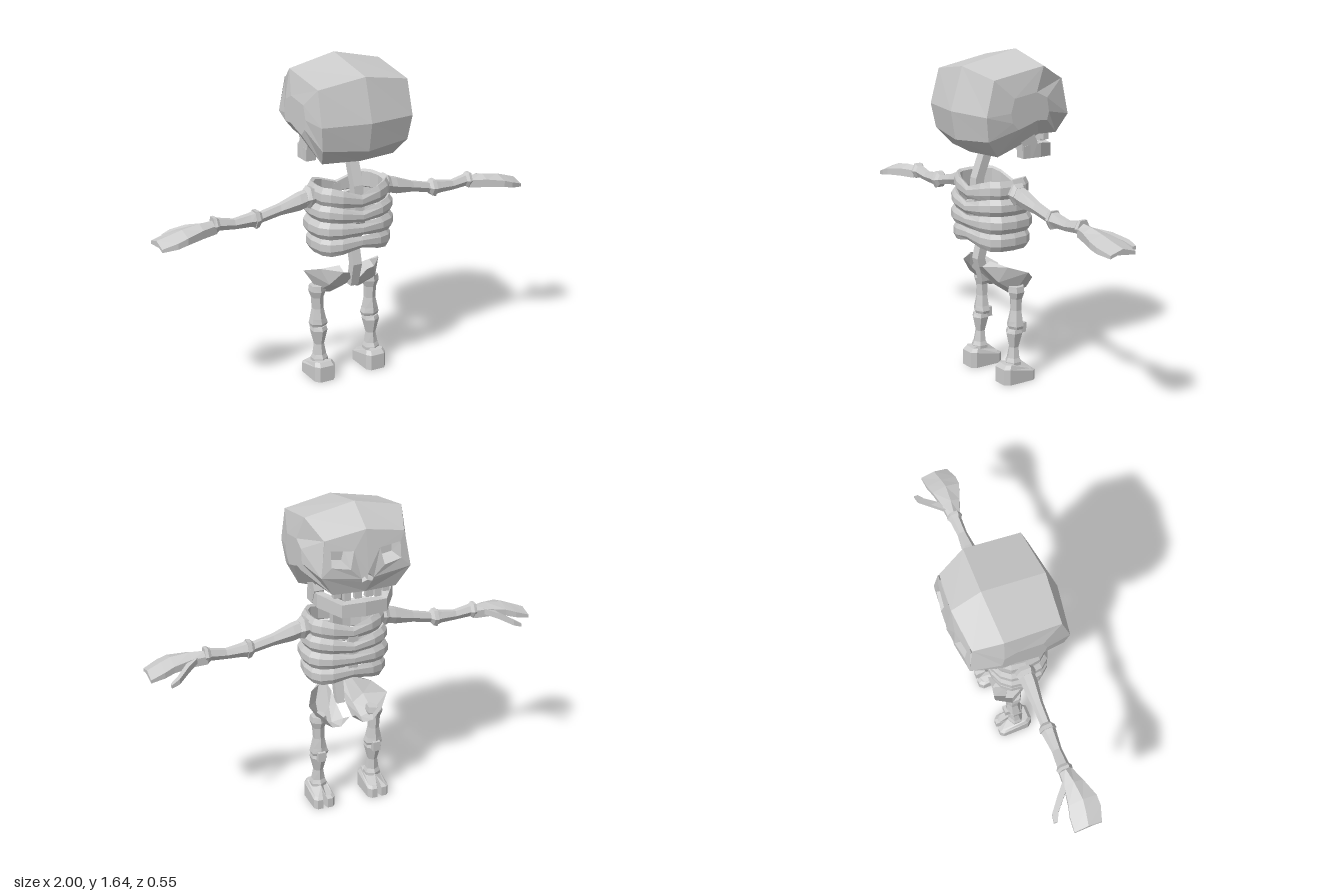
import * as THREE from 'three';

const bone = new THREE.MeshStandardMaterial({ color: 0xcccccc, flatShading: true, side: THREE.DoubleSide });

// Skin a list of equal-length point loops into a faceted mesh
function loft(name, rings, { caps = true, closed = true, skip = () => false } = {}) {
  const tris = [];
  const n = rings[0].length;
  for (let i = 0; i < rings.length - 1; i++) {
    for (let j = 0; j < (closed ? n : n - 1); j++) {
      if (skip(i, j)) continue;
      const k = (j + 1) % n;
      const [a, b, c, d] = [rings[i][j], rings[i][k], rings[i + 1][k], rings[i + 1][j]];
      tris.push([a, b, c], [a, c, d]);
    }
  }
  const first = rings[0], last = rings[rings.length - 1];
  if (caps) for (let j = 1; j < n - 1; j++) {
    tris.push([first[0], first[j + 1], first[j]], [last[0], last[j], last[j + 1]]);
  }
  // Flip everything if the solid came out inside out
  let volume = 0;
  const v = (p) => new THREE.Vector3(...p);
  for (const [a, b, c] of tris) volume += v(a).dot(v(b).cross(v(c)));
  if (volume < 0) tris.forEach((t) => t.reverse());
  const g = new THREE.BufferGeometry();
  g.setAttribute('position', new THREE.Float32BufferAttribute(tris.flat(2), 3));
  return mesh(name, g);
}

function mesh(name, g) {
  g.computeVertexNormals();
  const m = new THREE.Mesh(g, bone);
  m.name = name;
  return m;
}

// Polygon loop around a centre, perpendicular to the x or y axis
function ring([x, y, z], a, b, axis, n = 6) {
  return Array.from({ length: n }, (_, i) => {
    const t = ((i + 0.5) / n) * Math.PI * 2;
    const u = a * Math.cos(t), w = b * Math.sin(t);
    return axis === 'x' ? [x, y + u, z + w] : [x + u, y, z + w];
  });
}

// Stations are [x, y, z, radiusA, radiusB]
const limb = (name, axis, stations, n) =>
  loft(name, stations.map(([x, y, z, a, b]) => ring([x, y, z], a, b, axis, n)));

// Depth of the face, curving back towards the sides
function faceZ(x, y) {
  const z = y > 1.34 ? -0.275 + (0.03 * (y - 1.34)) / 0.21 : -0.24 - (0.035 * (y - 1.24)) / 0.1;
  return z + 0.5 * x * x;
}

function skull() {
  const g = new THREE.Group();
  g.name = 'skull';
  // Profiles run from the brow over the crown and back to the upper jaw
  const centre = [[0, 1.55, -0.245], [0, 1.64, -0.1], [0, 1.58, 0.21], [0, 1.37, 0.275], [0, 1.23, 0.25],
    [0, 1.16, 0.165], [0, 1.2, 0], [0, 1.25, -0.1], [0, 1.24, -0.24], [0, 1.34, -0.275]];
  const edge = [[0.2, 1.51, -0.225], [0.245, 1.587, -0.09], [0.24, 1.54, 0.19], [0.245, 1.37, 0.235], [0.23, 1.25, 0.215],
    [0.195, 1.165, 0.14], [0.19, 1.21, 0], [0.19, 1.25, -0.1], [0.16, 1.24, -0.227], [0.225, 1.34, -0.25]];
  const side = edge.map(([, y, z]) => [0.266, 1.39 + (y - 1.39) * 0.4, 0.01 + (z - 0.01) * 0.45]);
  const flip = (r) => r.map(([x, y, z]) => [-x, y, z]);
  g.add(loft('cranium', [flip(side), flip(edge), centre, edge, side],
    { skip: (i, j) => (i === 1 || i === 2) && j >= 8 }));

  // Face halves with an eye hole and half of the nose opening
  const eye = [[0.065, 1.455], [0.175, 1.465], [0.175, 1.385], [0.085, 1.37]];
  const nose = [[0, 1.345], [0.03, 1.315], [0.025, 1.295], [0, 1.305]];
  const pts = (a) => a.map(([x, y]) => new THREE.Vector2(x, y));
  for (const s of [1, -1]) {
    const half = new THREE.Group();
    half.name = s > 0 ? 'leftFace' : 'rightFace';
    const shape = new THREE.Shape(pts([[0, 1.55], ...nose, [0, 1.24], [0.16, 1.24], [0.225, 1.34], [0.2, 1.51]]));
    shape.holes.push(new THREE.Path(pts(eye)));
    const plate = new THREE.ShapeGeometry(shape).toNonIndexed();
    const p = plate.attributes.position;
    for (let i = 0; i < p.count; i++) p.setZ(i, faceZ(p.getX(i), p.getY(i)));
    // Reverse winding so the plate faces -z
    for (let i = 0; i < p.count; i += 3) {
      const a = new THREE.Vector3().fromBufferAttribute(p, i), b = new THREE.Vector3().fromBufferAttribute(p, i + 1);
      p.setXYZ(i, b.x, b.y, b.z);
      p.setXYZ(i + 1, a.x, a.y, a.z);
    }
    half.add(mesh('facePlate', plate));
    const pit = (name, loop, cx, cy, depth) => {
      const rim = loop.map(([x, y]) => [x, y, faceZ(x, y)]);
      const floor = loop.map(([x, y]) => [cx + (x - cx) * 0.65, cy + (y - cy) * 0.65, -0.26 + depth]);
      const m = loft(name, [rim, floor], { caps: false });
      half.add(m, loft(name + 'Floor', [floor.slice(0, 2), [floor[3], floor[2]]], { caps: false, closed: false }));
    };
    pit('eyeSocket', eye, 0.125, 1.42, 0.08);
    pit('noseCavity', nose, 0, 1.32, 0.04);
    // Upper teeth
    for (const [x, h] of [[0.028, 0.045], [0.078, 0.055], [0.125, 0.04]]) {
      const t = new THREE.BoxGeometry(0.034, h, 0.03);
      t.translate(x, 1.245 - h / 2, -0.215 + x * 0.25);
      half.add(mesh('tooth', t));
    }
    half.scale.x = s;
    g.add(half);
  }
  return g;
}

// Jaw: a U-shaped bar with an upright branch at each end
function jaw() {
  const path = [[0.185, -0.01, 1.14, 1.2, 0.02], [0.175, -0.11, 1.135, 1.205, 0.02],
    [0.1, -0.21, 1.115, 1.18, 0.025], [0, -0.22, 1.112, 1.185, 0.025]];
  const full = [...path, ...path.slice(0, 3).reverse().map(([x, ...r]) => [-x, ...r])];
  const g = new THREE.Group();
  g.name = 'jaw';
  g.add(loft('jawBar', full.map(([x, z, lo, hi, w]) => {
    const l = Math.hypot(x, z + 0.08) || 1, dx = (x / l) * w, dz = ((z + 0.08) / l) * w;
    return [[x + dx, lo, z + dz], [x + dx, hi, z + dz], [x - dx, hi, z - dz], [x - dx, lo, z - dz]];
  })));
  for (const s of [1, -1]) {
    const row = (y, z0, z1) => [[s * 0.2, y, z0], [s * 0.2, y, z1], [s * 0.15, y, z1], [s * 0.15, y, z0]];
    g.add(loft('jawBranch', [row(1.14, -0.005, -0.06), row(1.21, 0.0, -0.09), row(1.28, 0.02, -0.06)]));
  }
  return g;
}

// One closed rib hoop, pinched and dipped where it meets spine and breastbone
function rib(y, rx, rz, h, dip) {
  const rings = [];
  const n = 16;
  for (let i = 0; i <= n; i++) {
    const t = ((i % n) / n) * Math.PI * 2, c = Math.cos(t), s = Math.sin(t);
    const x = Math.sign(c) * Math.abs(c) ** 0.7, z = Math.sign(s) * Math.abs(s) ** 0.7;
    const mid = Math.max(0, 1 - Math.abs(x) / 0.75);
    const cy = y + dip * mid, hh = h * (1 - 0.35 * mid);
    const at = (k, dy) => [x * rx * k, cy + dy * hh, 0.045 + z * rz * k];
    rings.push([at(0.84, -0.8), at(0.92, -1), at(1, -0.4), at(1, 0.4), at(0.92, 1), at(0.84, 0.8)]);
  }
  return loft('rib', rings, { caps: false });
}

function arm() {
  const g = new THREE.Group();
  g.add(limb('shoulder', 'x', [[0.19, 0.975, 0.035, 0.05, 0.045], [0.215, 0.975, 0.035, 0.06, 0.05], [0.235, 0.97, 0.035, 0.045, 0.042]]));
  g.add(limb('upperArm', 'x', [[0.23, 0.97, 0.035, 0.045, 0.04], [0.27, 0.96, 0.035, 0.046, 0.04],
    [0.37, 0.937, 0.033, 0.03, 0.028], [0.47, 0.915, 0.033, 0.028, 0.026], [0.485, 0.912, 0.033, 0.045, 0.04], [0.505, 0.91, 0.033, 0.05, 0.043]]));
  g.add(limb('forearm', 'x', [[0.5, 0.91, 0.033, 0.042, 0.038], [0.53, 0.91, 0.033, 0.034, 0.034], [0.61, 0.905, 0.033, 0.027, 0.025],
    [0.69, 0.917, 0.03, 0.032, 0.03], [0.705, 0.917, 0.03, 0.044, 0.04], [0.72, 0.917, 0.03, 0.044, 0.036]]));
  // Mitten hand, cut as columns [x, topY, bottomY, backZ, frontZ], crowned across
  const palm = [[0.71, 0.94, 0.9, 0.06, 0.0], [0.79, 0.94, 0.9, 0.09, -0.005], [0.88, 0.928, 0.895, 0.122, -0.022],
    [0.93, 0.912, 0.883, 0.122, -0.035], [1.0, 0.888, 0.872, 0.1, -0.04]];
  g.add(loft('hand', palm.map(([x, t, b, z0, z1]) => {
    const m = (z0 + z1) / 2, d = 0.02;
    return [[x, t - d, z0], [x, t, m], [x, t - d, z1], [x, b - d, z1], [x, b, m], [x, b - d, z0]];
  })));
  g.add(limb('thumb', 'x', [[0.76, 0.91, 0.015, 0.02, 0.022], [0.82, 0.895, -0.035, 0.022, 0.028],
    [0.88, 0.868, -0.088, 0.019, 0.024], [0.92, 0.852, -0.102, 0.012, 0.014]], 4));
  return g;
}

function leg() {
  const g = new THREE.Group();
  g.add(limb('thigh', 'y', [[0.152, 0.495, 0, 0.04, 0.042], [0.152, 0.465, 0, 0.045, 0.045], [0.152, 0.43, 0, 0.032, 0.032],
    [0.15, 0.37, 0, 0.03, 0.03], [0.15, 0.315, 0.002, 0.042, 0.038], [0.148, 0.29, 0.002, 0.05, 0.042], [0.148, 0.275, 0.002, 0.045, 0.035]]));
  g.add(limb('shin', 'y', [[0.15, 0.275, 0.01, 0.04, 0.036], [0.15, 0.255, 0.01, 0.045, 0.045], [0.15, 0.18, 0.012, 0.026, 0.026],
    [0.15, 0.125, 0.015, 0.036, 0.032], [0.15, 0.105, 0.015, 0.045, 0.042], [0.15, 0.09, 0.015, 0.045, 0.042]]));
  const cap = new THREE.BoxGeometry(0.04, 0.05, 0.03);
  cap.translate(0.15, 0.275, -0.035);
  g.add(mesh('kneecap', cap));
  // Foot plan with a notch between two toes, top sloping down to the front
  const plan = [[0.092, 0.07], [0.11, 0.095], [0.185, 0.095], [0.205, 0.07], [0.205, -0.07], [0.19, -0.088],
    [0.162, -0.088], [0.15, -0.035], [0.138, -0.09], [0.11, -0.09], [0.092, -0.07]];
  const foot = (k, y) => plan.map(([x, z]) => [0.149 + (x - 0.149) * k, y(z), z * k]);
  g.add(loft('foot', [foot(1, () => 0), foot(1, (z) => (z < -0.05 ? 0.05 : 0.08)), foot(0.82, (z) => (z < -0.05 ? 0.062 : 0.1))],
    { caps: false }));
  for (const [k, y0, y1] of [[1, 0, 0], [0.82, 0.1, 0.062]]) {
    const sole = new THREE.ShapeGeometry(new THREE.Shape(plan.map(([x, z]) => new THREE.Vector2(0.149 + (x - 0.149) * k, z * k))));
    const p = sole.attributes.position;
    for (let i = 0; i < p.count; i++) {
      const z = p.getY(i);
      p.setXYZ(i, p.getX(i), z < -0.05 * k ? y1 : y0, z);
    }
    g.add(mesh(y0 ? 'footTop' : 'sole', sole));
  }
  return g;
}

// Hip wing: a cupped sheet from the crotch up to the flared rim
const hip = () => loft('hipWing', [
  [[0.03, 0.55, 0.125], [0.025, 0.5, 0.07], [0.025, 0.46, -0.02], [0.015, 0.5, -0.085]],
  [[0.05, 0.59, 0.15], [0.065, 0.49, 0.07], [0.08, 0.44, 0.0], [0.06, 0.45, -0.08]],
  [[0.085, 0.6, 0.155], [0.13, 0.52, 0.09], [0.145, 0.46, 0.0], [0.11, 0.46, -0.09]],
  [[0.085, 0.622, 0.11], [0.165, 0.6, 0.06], [0.212, 0.57, -0.03], [0.15, 0.52, -0.1]],
], { caps: false, closed: false });

export function createModel() {
  const model = new THREE.Group();
  model.name = 'skeleton';
  model.add(skull(), jaw());
  model.add(limb('spine', 'y', [[0, 1.21, 0.055, 0.036, 0.034], [0, 1.03, 0.125, 0.036, 0.034], [0, 0.85, 0.145, 0.036, 0.034],
    [0, 0.71, 0.095, 0.034, 0.034], [0, 0.62, 0.12, 0.034, 0.032], [0, 0.5, 0.09, 0.03, 0.03]], 4));
  const cage = new THREE.Group();
  cage.name = 'ribCage';
  cage.add(rib(0.99, 0.2, 0.145, 0.048, -0.03), rib(0.91, 0.217, 0.157, 0.042, -0.025),
    rib(0.825, 0.222, 0.157, 0.044, -0.005), rib(0.737, 0.208, 0.148, 0.046, 0.015));
  const sternum = new THREE.BoxGeometry(0.05, 0.24, 0.02);
  sternum.translate(0, 0.86, -0.085);
  cage.add(mesh('breastbone', sternum));
  model.add(cage);
  // Mirrored limbs and hips
  for (const s of [1, -1]) {
    const parts = { Arm: arm(), Leg: leg(), Hip: hip() };
    for (const [name, part] of Object.entries(parts)) {
      part.name = (s > 0 ? 'left' : 'right') + name;
      part.scale.x = s;
      model.add(part);
    }
  }
  return model;
}
